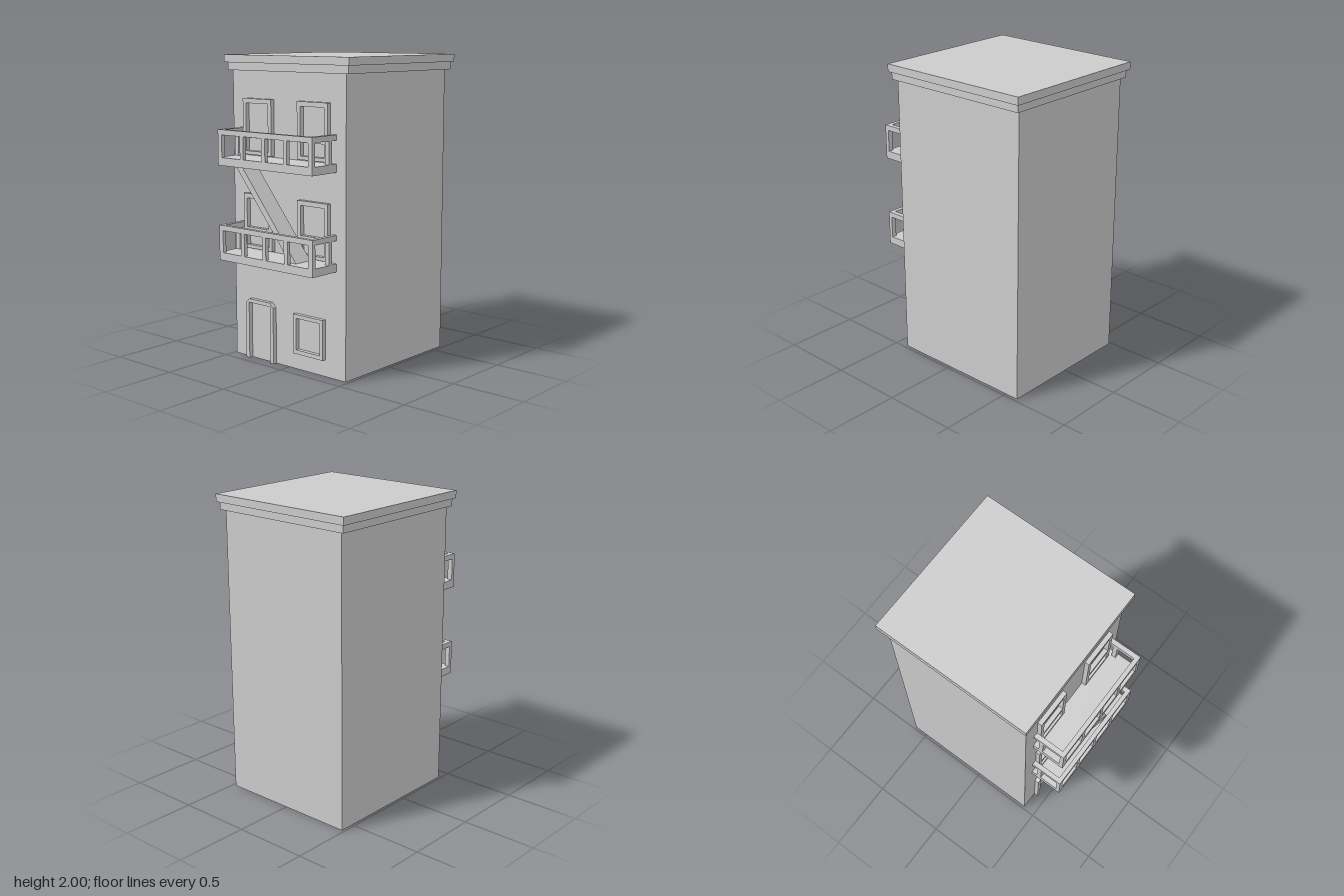
import * as THREE from 'three';

const WALL = 0.413, FRAME = 0.442;
const mat = new THREE.MeshStandardMaterial({ color: 0xcccccc, flatShading: true });

function add(parent, name, geometry) {
  const mesh = new THREE.Mesh(geometry, mat);
  mesh.name = name;
  parent.add(mesh);
  return mesh;
}

// Box given by its limits on each axis
function box(parent, name, x0, x1, y0, y1, z0, z1) {
  const mesh = add(parent, name, new THREE.BoxGeometry(x1 - x0, y1 - y0, z1 - z0));
  mesh.position.set((x0 + x1) / 2, (y0 + y1) / 2, (z0 + z1) / 2);
  return mesh;
}

// Outline in x and y pushed out from z0 to z1, with rectangular holes
function plate(parent, name, points, z0, z1, holes = []) {
  const toVectors = (list) => list.map(([x, y]) => new THREE.Vector2(x, y));
  const shape = new THREE.Shape(toVectors(points));
  for (const [x0, x1, y0, y1] of holes) {
    shape.holes.push(new THREE.Path(toVectors([[x0, y0], [x0, y1], [x1, y1], [x1, y0]])));
  }
  const geometry = new THREE.ExtrudeGeometry(shape, { depth: z1 - z0, bevelEnabled: false });
  geometry.translate(0, 0, z0);
  return add(parent, name, geometry);
}

const rect = (x0, x1, y0, y1) => [[x0, y0], [x1, y0], [x1, y1], [x0, y1]];

function balcony(parent, y) {
  const group = new THREE.Group();
  group.name = 'balcony';
  parent.add(group);
  const floor = y + 0.052, rail = y + 0.196, top = y + 0.23, front = 0.634;
  box(group, 'balconyFloor', -0.402, 0.402, y, floor, WALL, front);
  box(group, 'frontRail', -0.402, 0.402, rail, top, 0.605, front);
  for (const x of [-0.385, -0.19, -0.002, 0.182, 0.385]) {
    const half = Math.abs(x) > 0.3 ? 0.017 : 0.015;
    box(group, 'frontPost', x - half, x + half, floor, rail, 0.608, front);
  }
  for (const side of [-1, 1]) {
    const a = side * 0.37, b = side * 0.402;
    const x0 = Math.min(a, b), x1 = Math.max(a, b);
    box(group, 'sideRail', x0, x1, rail, top, WALL, 0.605);
    box(group, 'sidePost', x0, x1, floor, rail, 0.453, 0.483);
  }
}

export function createModel() {
  const model = new THREE.Group();
  model.name = 'apartmentBuilding';

  // Main block and stepped cornice
  box(model, 'walls', -0.483, 0.478, 0, 1.9, -0.597, WALL);
  box(model, 'lowerCornice', -0.513, 0.511, 1.9, 1.95, -0.617, 0.431);
  box(model, 'roofSlab', -0.531, 0.528, 1.95, 2, -0.633, 0.447);

  // Two upper floors: sash windows with a middle bar, and a balcony
  for (const y of [0.688, 1.304]) {
    for (const x of [-0.243, 0.229]) {
      const x0 = x - 0.097, x1 = x + 0.097;
      plate(model, 'windowFrame', rect(x - 0.125, x + 0.125, y + 0.06, y + 0.42), WALL, FRAME,
        [[x0, x1, y + 0.083, y + 0.168], [x0, x1, y + 0.2, y + 0.39]]);
    }
    balcony(model, y);
  }

  // Sloping stair between the balconies
  plate(model, 'stair', [[0.167, 0.738], [0.22, 0.738], [-0.245, 1.306], [-0.3, 1.306]], 0.448, 0.58);

  // Ground floor window and door surround with cut corners
  plate(model, 'groundWindowFrame', rect(0.061, 0.312, 0.11, 0.37), WALL, FRAME,
    [[0.088, 0.288, 0.137, 0.345]]);
  plate(model, 'doorFrame', [
    [-0.362, 0], [-0.333, 0], [-0.333, 0.38], [-0.143, 0.38], [-0.143, 0], [-0.114, 0],
    [-0.114, 0.375], [-0.145, 0.405], [-0.331, 0.405], [-0.362, 0.375],
  ], WALL, FRAME);

  return model;
}
